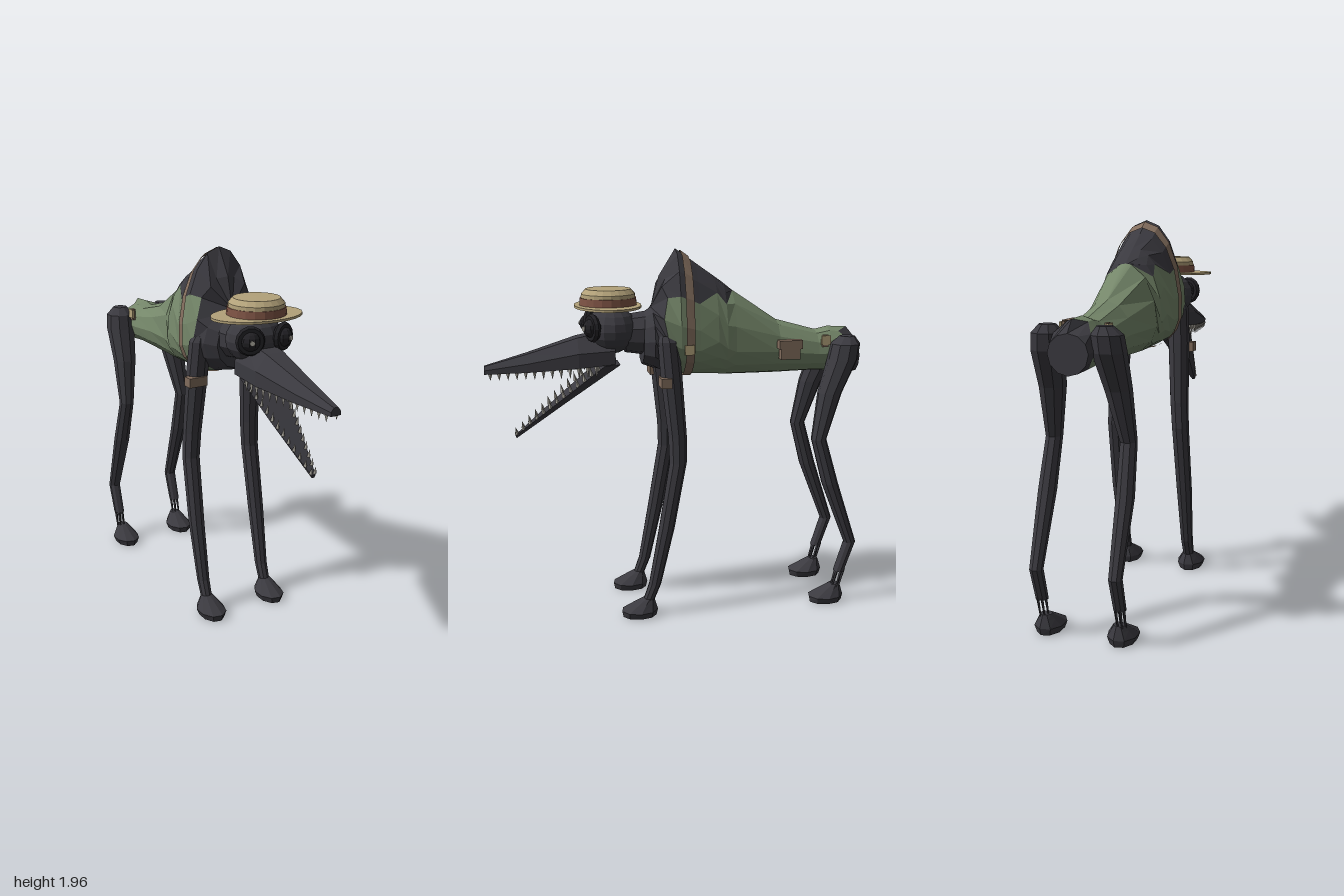
import * as THREE from 'three';

const mat = (name, color, side = THREE.FrontSide) => {
  const m = new THREE.MeshStandardMaterial({ color, flatShading: true, side });
  m.name = name;
  return m;
};

// Lofts closed rings of [x,y,z]; pick(i, j) chooses the material group of a quad.
function loft(rings, { caps = true, pick = () => 0 } = {}) {
  const lists = [[], []];
  const n = rings[0].length;
  const mid = (r) => [0, 1, 2].map((k) => r.reduce((s, p) => s + p[k], 0) / n);
  for (let i = 0; i < rings.length - 1; i++) {
    for (let j = 0; j < n; j++) {
      const k = (j + 1) % n;
      const a = rings[i][j], b = rings[i][k], c = rings[i + 1][k], d = rings[i + 1][j];
      lists[pick(i, j)].push(...a, ...b, ...c, ...a, ...c, ...d);
    }
  }
  if (caps) {
    const s = rings[0], e = rings[rings.length - 1];
    const ms = mid(s), me = mid(e);
    for (let j = 0; j < n; j++) {
      const k = (j + 1) % n;
      lists[0].push(...s[k], ...s[j], ...ms, ...e[j], ...e[k], ...me);
    }
  }
  const g = new THREE.BufferGeometry();
  g.setAttribute('position', new THREE.Float32BufferAttribute([...lists[0], ...lists[1]], 3));
  g.addGroup(0, lists[0].length / 3, 0);
  if (lists[1].length) g.addGroup(lists[0].length / 3, lists[1].length / 3, 1);
  g.computeVertexNormals();
  return g;
}

// Horizontal elliptical ring for limbs and feet
const flatRing = (x, y, z, rx, rz = rx, n = 9) =>
  Array.from({ length: n }, (_, i) => {
    const a = (i / n) * Math.PI * 2;
    return [x + rx * Math.cos(a), y, z + rz * Math.sin(a)];
  });

// Body stations: z, bottom, top, half width, widest height, jacket edge height, hem jag
const BODY = [
  [-1, 1.28, 1.47, 0.1, 1.38, 2, 0],
  [-0.92, 1.285, 1.53, 0.105, 1.4, 2, 0.03],
  [-0.84, 1.29, 1.535, 0.108, 1.4, 2, 0],
  [-0.77, 1.295, 1.52, 0.11, 1.4, 2, 0],
  [-0.55, 1.29, 1.58, 0.125, 1.42, 2, 0],
  [-0.3, 1.29, 1.745, 0.165, 1.45, 1.74, 0],
  [-0.25, 1.292, 1.785, 0.175, 1.46, 1.68, 0],
  [-0.2, 1.295, 1.82, 0.185, 1.47, 1.74, 0],
  [-0.1, 1.3, 1.89, 0.193, 1.48, 1.69, 0],
  [0, 1.305, 1.96, 0.2, 1.5, 1.73, 0],
  [0.075, 1.325, 1.82, 0.196, 1.5, 1.72, 0.012],
  [0.13, 1.34, 1.66, 0.17, 1.5, 2, 0],
  [0.18, 1.36, 1.63, 0.12, 1.49, 2, 0],
];

// Cross-section with 6 steps below the jacket edge and 3 above, mirrored
function section([z, yb, yt, w, cy, split, jag], off = 0) {
  const half = [];
  const top = Math.asin(Math.min(1, Math.max(0, (split - cy) / (yt - cy))));
  for (let k = 0; k <= 9; k++) {
    const a = k <= 6
      ? THREE.MathUtils.lerp(-Math.PI / 2, top, k / 6)
      : THREE.MathUtils.lerp(top, Math.PI / 2, (k - 6) / 3);
    const s = Math.sin(a);
    half.push([(w + off) * Math.cos(a), cy + s * ((s > 0 ? yt - cy : cy - yb) + off), z + (k % 2 ? jag : -jag)]);
  }
  return [...half, ...half.slice(1, 9).reverse().map(([x, y, zz]) => [-x, y, zz])];
}

// Station interpolated at any z
function stationAt(z) {
  const i = BODY.findIndex((b) => b[0] > z);
  const a = BODY[i - 1], b = BODY[i];
  return a.map((v, k) => THREE.MathUtils.lerp(v, b[k], (z - a[0]) / (b[0] - a[0])));
}

export function createModel() {
  const model = new THREE.Group();
  const skin = mat('dark skin', 0x3b3a40);
  const black = mat('eye black', 0x222125);
  const green = mat('jacket green', 0x75876a);
  const leather = mat('leather', 0x826d5d, THREE.DoubleSide);
  const straw = mat('straw', 0xb3a27a, THREE.DoubleSide);
  const ribbon = mat('hat ribbon', 0x7f5445, THREE.DoubleSide);
  const bone = mat('teeth', 0xb4b0a6);
  const add = (name, geo, material, pos = [0, 0, 0], parent = model) => {
    const m = new THREE.Mesh(geo, material);
    m.name = name;
    m.position.set(...pos);
    parent.add(m);
    return m;
  };
  const box = (name, size, pos, material) => add(name, new THREE.BoxGeometry(...size), material, pos);

  // Torso wearing the jacket; the hump, chest and rump stay bare
  const jacketed = (i, j) => (i >= 1 && i <= 9 && (i < 5 || j < 6 || j > 11) ? 1 : 0);
  add('torso', loft(BODY.map((b) => section(b)), { pick: jacketed }), [skin, green]);

  // Strap around the shoulders
  const strapRings = [-0.07, -0.025].map((z) => section(stationAt(z), 0.01));
  add('shoulderStrap', loft(strapRings, { caps: false }), leather);
  box('strapBuckle', [0.012, 0.05, 0.05], [0.207, 1.46, -0.04], straw);

  // Pouch with flap, hanging on one side
  box('pouch', [0.045, 0.08, 0.105], [0.165, 1.43, -0.585], leather);
  box('pouchFlap', [0.052, 0.045, 0.125], [0.166, 1.468, -0.585], leather);

  // Neck and head
  const neck = add('neck', new THREE.CylinderGeometry(0.1, 0.12, 0.14, 10), skin, [0, 1.525, 0.2]);
  neck.rotation.x = Math.PI / 2;
  add('head', new THREE.SphereGeometry(0.13, 14, 10), skin, [0, 1.55, 0.335]).scale.set(1.15, 0.97, 1);

  // Upper snout
  const snout = [[0.33, 0.11, 1.38, 1.45, 1.55], [0.52, 0.112, 1.365, 1.44, 1.515], [0.78, 0.07, 1.345, 1.39, 1.435], [1, 0.028, 1.335, 1.355, 1.375]];
  add('upperSnout', loft(snout.map(([z, w, b, m, t]) =>
    [[w, b, z], [w, m, z], [w * 0.45, t, z], [-w * 0.45, t, z], [-w, m, z], [-w, b, z]])), skin);

  // Lower jaw: half width, top y, top z, bottom y, bottom z
  const jaw = [[0.115, 1.375, 0.385, 1.37, 0.3], [0.075, 1.2, 0.605, 1.165, 0.6], [0.012, 1.0, 0.855, 0.985, 0.85]];
  add('lowerJaw', loft(jaw.map(([w, yt, zt, yb, zb]) =>
    [[w, yt, zt], [-w, yt, zt], [-w * 0.6, yb, zb], [w * 0.6, yb, zb]])), skin);

  for (const s of [1, -1]) {
    const side = s > 0 ? 'left' : 'right';

    // Teeth along both jaws
    for (let i = 0; i < 13; i++) {
      const t = i / 12;
      const h = 0.06 - 0.025 * t;
      const tooth = new THREE.ConeGeometry(0.011, h, 4);
      const z = 0.43 + 0.54 * t;
      const w = z < 0.52 ? 0.11 : THREE.MathUtils.lerp(0.11, 0.03, (z - 0.52) / 0.48);
      add(side + 'UpperTooth', tooth, bone, [s * (w - 0.006), 1.372 - 0.035 * t - h / 2, z]).rotation.x = Math.PI;
      add(side + 'LowerTooth', tooth, bone,
        [s * (0.102 - 0.09 * t), 1.35 - 0.345 * t + h / 2, 0.425 + 0.425 * t]).rotation.x = 0.2;
    }

    // Eye with a thick rim and a small pale pupil
    const eye = new THREE.Group();
    eye.name = side + 'Eye';
    eye.position.set(s * 0.095, 1.57, 0.445);
    eye.rotation.y = s * 0.35;
    add('eyeRim', new THREE.TorusGeometry(0.056, 0.018, 6, 14), black, [0, 0, 0], eye);
    add('eyeball', new THREE.SphereGeometry(0.05, 10, 8), black, [0, 0, 0], eye);
    add('pupil', new THREE.CylinderGeometry(0.013, 0.013, 0.006, 8), bone, [0, 0, 0.05], eye).rotation.x = Math.PI / 2;
    model.add(eye);

    // Front leg: x, y, z, radius
    const front = [[0.15, 1.53, 0.07, 0.04], [0.155, 1.5, 0.065, 0.055], [0.165, 1.32, 0.05, 0.058], [0.18, 1, 0.02, 0.05],
      [0.187, 0.86, 0.018, 0.047], [0.192, 0.5, 0.08, 0.043], [0.19, 0.18, 0.145, 0.034], [0.19, 0.06, 0.19, 0.03]];
    // Hind leg, ending above a frayed ankle
    const hind = [[0.14, 1.5, -0.91, 0.04], [0.145, 1.46, -0.9, 0.078], [0.15, 1.38, -0.885, 0.082], [0.165, 1.2, -0.815, 0.066],
      [0.19, 0.95, -0.755, 0.042], [0.198, 0.7, -0.825, 0.046], [0.2, 0.35, -0.955, 0.034], [0.2, 0.18, -0.9, 0.031]];
    const limb = (pts) => loft(pts.map(([x, y, z, r]) => flatRing(s * x, y, z, r)));
    add(side + 'FrontLeg', limb(front), skin);
    add(side + 'HindLeg', limb(hind), skin);
    for (let i = 0; i < 6; i++) {
      const a = (i / 6) * Math.PI * 2;
      const strand = new THREE.CylinderGeometry(0.008, 0.004, 0.12, 4);
      add(side + 'AnkleStrand', strand, skin,
        [s * 0.2 + 0.022 * Math.cos(a), 0.135, -0.893 + 0.022 * Math.sin(a)]).rotation.x = -0.25;
    }

    // Feet
    for (const [name, zc] of [['FrontFoot', 0.23], ['HindFoot', -0.83]]) {
      const x = s * 0.19;
      add(side + name, loft([flatRing(x, 0.1, zc - 0.05, 0.03), flatRing(x, 0.075, zc - 0.03, 0.048, 0.058),
        flatRing(x, 0.035, zc, 0.076, 0.1), flatRing(x, 0, zc, 0.062, 0.092)]), skin);
    }

    // Leg pouch and rear jacket buckle
    box(side + 'LegPouch', [0.105, 0.05, 0.055], [s * 0.19, 1.295, 0.085], leather);
    box(side + 'RearStrap', [0.02, 0.065, 0.03], [s * 0.108, 1.47, -0.8], leather);
    box(side + 'RearBuckle', [0.012, 0.05, 0.05], [s * 0.117, 1.475, -0.8], straw);
  }

  // Straw boater hat
  add('hatBrim', new THREE.CylinderGeometry(0.245, 0.245, 0.012, 24), straw, [0, 1.672, 0.355]).scale.z = 0.71;
  add('hatRibbon', new THREE.CylinderGeometry(0.146, 0.15, 0.04, 20), ribbon, [0, 1.696, 0.352]);
  const crown = [[0.142, 1.71], [0.14, 1.735], [0.118, 1.76], [0, 1.762]].map((p) => new THREE.Vector2(...p));
  add('hatCrown', new THREE.LatheGeometry(crown, 20), straw, [0, 0, 0.352]);
  return model;
}
